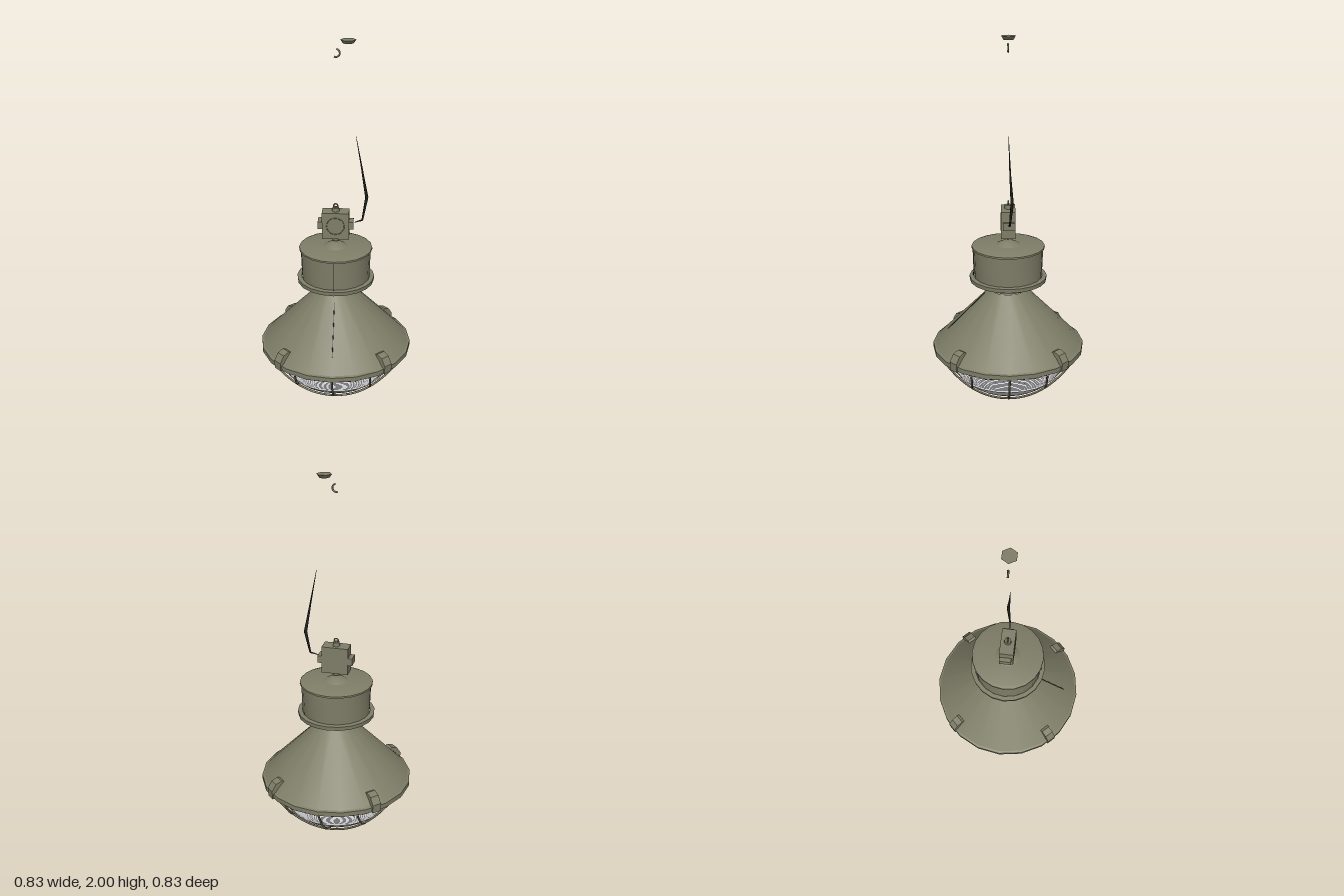
import * as THREE from 'three';
import { toCreasedNormals } from 'three/addons/utils/BufferGeometryUtils.js';

const paint = new THREE.MeshStandardMaterial({ color: 0x7f7e68 });
paint.name = 'olive paint';
const glass = new THREE.MeshStandardMaterial({ color: 0xd8d8dc, side: THREE.DoubleSide });
glass.name = 'pale glass';
const rubber = new THREE.MeshStandardMaterial({ color: 0x20201e });
rubber.name = 'black rubber';

const V = (x, y, z) => new THREE.Vector3(x, y, z);
const SEG = 20;

export function createModel() {
  const lamp = new THREE.Group();
  lamp.name = 'pendantLamp';

  const add = (name, geometry, material = paint, x = 0, y = 0, z = 0, parent = lamp) => {
    const mesh = new THREE.Mesh(geometry, material);
    mesh.name = name;
    mesh.position.set(x, y, z);
    parent.add(mesh);
    return mesh;
  };
  // Turned part from [radius, height] points, listed upwards on the outside
  const turned = (name, points, material = paint, seg = SEG) =>
    add(name, toCreasedNormals(new THREE.LatheGeometry(
      points.map(([r, y]) => new THREE.Vector2(r, y)), seg), 0.5), material);
  // Tapered rod between two points
  const rod = (name, a, b, ra, rb, material, parent = lamp, seg = 6) => {
    const mesh = add(name, new THREE.CylinderGeometry(rb, ra, a.distanceTo(b), seg), material, 0, 0, 0, parent);
    mesh.position.copy(a).add(b).multiplyScalar(0.5);
    mesh.quaternion.setFromUnitVectors(V(0, 1, 0), b.clone().sub(a).normalize());
    return mesh;
  };

  // Shade, open underneath, with its rim
  turned('shade', [[0.406, 0.309], [0.1, 0.627]]);
  turned('shadeRim', [[0.385, 0.278], [0.416, 0.28], [0.416, 0.306], [0.404, 0.311]]);

  // Neck and ballast housing
  turned('neck', [[0.1, 0.632], [0.112, 0.635], [0.112, 0.69]]);
  turned('housingFlange', [[0.1, 0.695], [0.155, 0.695], [0.16, 0.682], [0.208, 0.682],
    [0.21, 0.704], [0.186, 0.706]]);
  turned('housing', [[0.184, 0.7], [0.19, 0.87]]);
  turned('housingLid', [[0.185, 0.865], [0.198, 0.867], [0.197, 0.876], [0.18, 0.882], [0, 0.882]]);
  turned('topBoss', [[0.068, 0.88], [0.05, 0.891], [0.025, 0.902], [0, 0.902]]);

  // Thin seam strips down the front
  add('housingSeam', new THREE.BoxGeometry(0.004, 0.16, 0.004), rubber, 0, 0.785, 0.189);
  rod('shadeSeam', V(0, 0.6, 0.127), V(0, 0.385, 0.334), 0.002, 0.002, rubber);

  // Junction box with cable glands on four sides and a round front cover
  const box = new THREE.Group();
  box.name = 'junctionBox';
  box.position.y = 1.01;
  lamp.add(box);
  add('boxBody', new THREE.BoxGeometry(0.144, 0.148, 0.076), paint, 0, 0, 0, box);
  for (const s of [-1, 1]) {
    add('sideGland', new THREE.BoxGeometry(0.024, 0.04, 0.064), paint, s * 0.083, 0, -0.004, box);
    rod('endGland', V(0, s * 0.07, 0), V(0, s * 0.095, 0), 0.02, 0.018, paint, box, 8);
  }
  add('boxCover', new THREE.TorusGeometry(0.047, 0.002, 4, 20), paint, 0, 0, 0.038, box);
  add('hangingEye', new THREE.TorusGeometry(0.011, 0.004, 5, 10), paint, 0, 0.104, 0, box);

  // Clips holding the cage to the rim
  const clipShape = new THREE.Shape([[0.418, 0.275], [0.42, 0.322], [0.395, 0.36], [0.36, 0.372],
    [0.345, 0.366], [0.375, 0.34], [0.39, 0.322], [0.39, 0.275]]
    .map(([x, y]) => new THREE.Vector2(x, y)));
  const clipGeometry = new THREE.ExtrudeGeometry(clipShape, { depth: 0.05, bevelEnabled: false });
  clipGeometry.translate(0, 0, -0.025);
  for (let i = 0; i < 4; i++) {
    add('clip', clipGeometry).rotation.y = Math.PI / 4 + i * Math.PI / 2;
  }

  // The bowl and its cage share one curved profile
  const CURVE = 2.5;
  const bowlY = r => 0.01 + 0.27 * Math.pow(r / 0.4, CURVE);
  const bowlR = y => 0.4 * Math.pow((y - 0.01) / 0.27, 1 / CURVE);

  const bowl = [];
  for (let i = 0; i <= 10; i++) bowl.push([0.029 * i, bowlY(0.029 * i) + 0.012]);
  turned('glassBowl', bowl, glass, 24);

  // Narrow ribs with open gaps between them
  for (let i = 0; i < 10; i++) {
    const y = 0.15 + i * 0.013;
    const r = bowlR(y) - 0.014;
    turned('glassRib', [[r - 0.005, y], [r + 0.005, y + 0.0085]], glass, 24);
  }

  // Wire cage: three bars each way
  for (const turn of [0, Math.PI / 2]) {
    for (const offset of [-0.2, 0, 0.2]) {
      const half = Math.sqrt(0.395 ** 2 - offset ** 2);
      const path = [];
      for (let i = 0; i <= 12; i++) {
        const t = half * (i / 6 - 1);
        path.push(V(offset, bowlY(Math.hypot(offset, t)), t));
      }
      const bar = new THREE.TubeGeometry(new THREE.CatmullRomCurve3(path), 28, 0.006, 5);
      add('cageBar', bar).rotation.y = turn;
    }
  }
  const ring = add('cageRing', new THREE.TorusGeometry(0.392, 0.007, 5, 24), paint, 0, 0.275, 0);
  ring.rotation.x = Math.PI / 2;

  // Loose tapering cable beside the box
  const cable = [[0.105, 1.5, 0, 0.001], [0.14, 1.3, -0.008, 0.005], [0.164, 1.155, -0.017, 0.009],
    [0.142, 1.032, -0.006, 0.005], [0.1, 1.02, 0, 0.002]];
  for (let i = 1; i < cable.length; i++) {
    const a = cable[i - 1], b = cable[i];
    rod('cable', V(a[0], a[1], a[2]), V(b[0], b[1], b[2]), a[3], b[3], rubber, lamp, 5);
  }

  // Ceiling cap and hook
  add('ceilingCap', new THREE.CylinderGeometry(0.04, 0.028, 0.018, 6), paint, 0.062, 1.991, 0)
    .rotation.y = Math.PI / 6;
  add('ceilingHook', new THREE.TorusGeometry(0.02, 0.005, 5, 10, Math.PI * 1.1), paint, 0, 1.932, 0)
    .rotation.z = -Math.PI * 0.65;

  return lamp;
}
